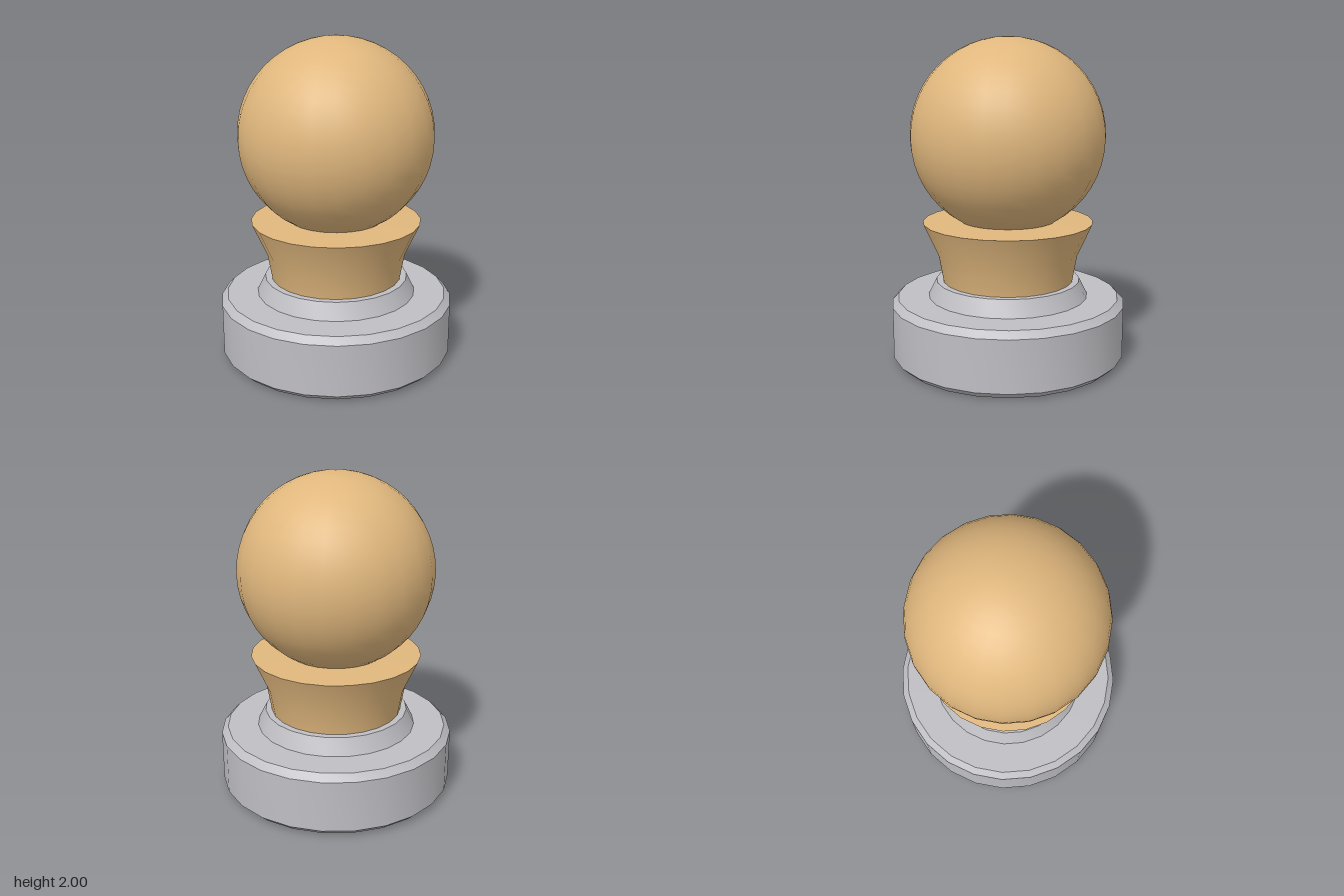
import * as THREE from 'three';
import { toCreasedNormals } from 'three/addons/utils/BufferGeometryUtils.js';

const SIDES = 24;

export function createModel() {
  const model = new THREE.Group();
  model.name = 'ballFinial';

  const wood = new THREE.MeshStandardMaterial({ color: 0xe0b77d });
  wood.name = 'warm wood';
  const metal = new THREE.MeshStandardMaterial({ color: 0xbfbec3 });
  metal.name = 'grey metal';

  const add = (name, geometry, material) => {
    const mesh = new THREE.Mesh(geometry, material);
    mesh.name = name;
    model.add(mesh);
    return mesh;
  };

  // Turned part from [radius, height] pairs, bottom to top, with sharp rims
  const turned = (profile) => toCreasedNormals(
    new THREE.LatheGeometry(profile.map(([r, y]) => new THREE.Vector2(r, y)), SIDES),
    0.5
  );

  // Chamfered base disc
  add('base', turned([
    [0, 0], [0.69, 0], [0.732, 0.04], [0.732, 0.36], [0.692, 0.4], [0, 0.4]
  ]), metal);

  // Tapered collar on the base
  add('collar', turned([[0.5, 0.4], [0.45, 0.5], [0, 0.5]]), metal);

  // Flared neck with a slightly raised top
  add('neck', turned([
    [0.41, 0.5], [0.44, 0.67], [0.53, 0.87], [0.3, 0.88], [0, 0.88]
  ]), wood);

  // Ball
  add('ball', new THREE.SphereGeometry(0.6, SIDES, 24), wood).position.y = 1.4;

  return model;
}
